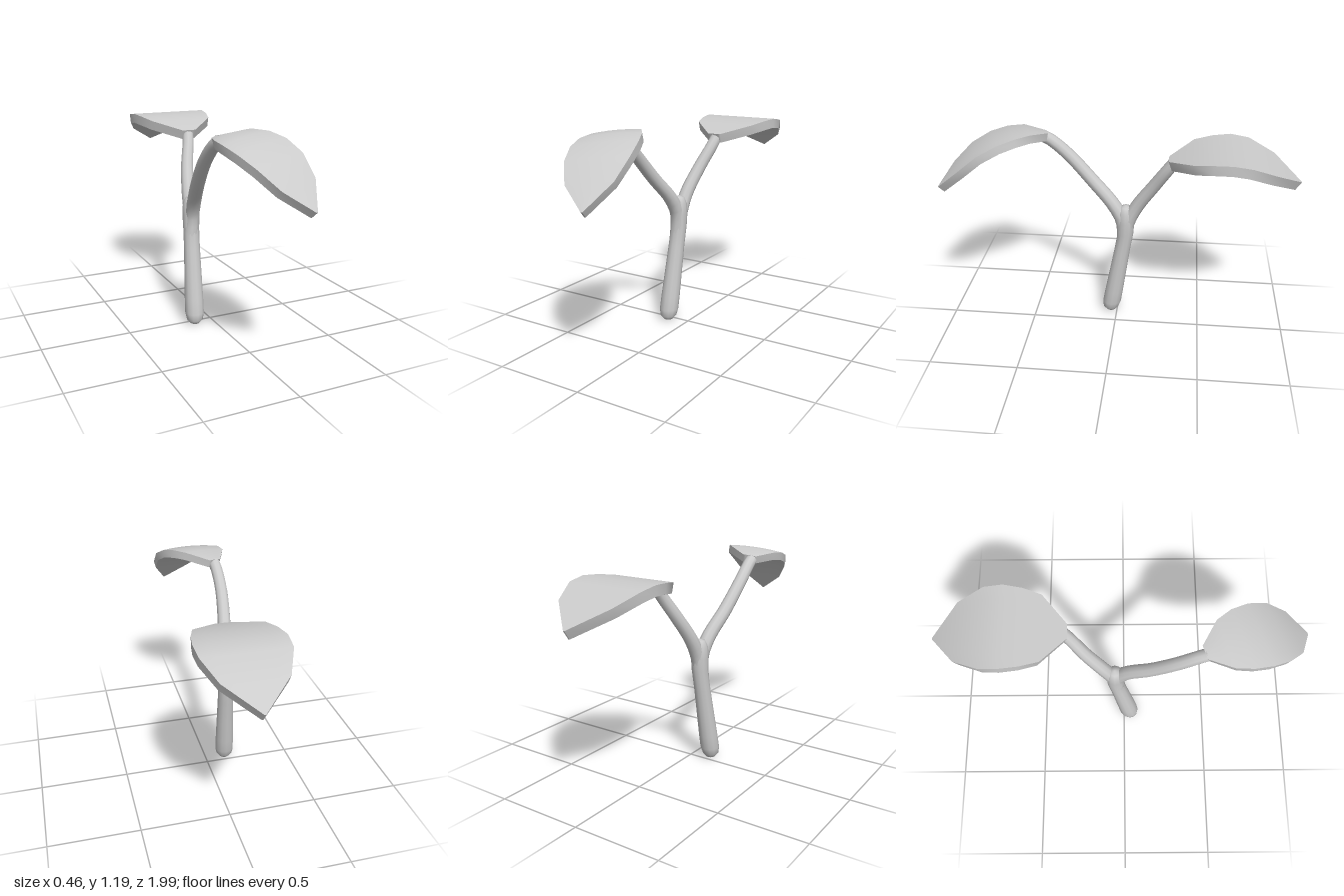
import * as THREE from 'three';
import { mergeVertices } from 'three/addons/utils/BufferGeometryUtils.js';

const material = new THREE.MeshStandardMaterial({ color: 0xcccccc, side: THREE.DoubleSide });

function addMesh(group, name, geometry) {
  const mesh = new THREE.Mesh(geometry, material);
  mesh.name = name;
  group.add(mesh);
}

// Weld the seam and recompute smooth normals
function smooth(geometry) {
  geometry.deleteAttribute('normal');
  geometry.deleteAttribute('uv');
  const welded = mergeVertices(geometry, 1e-5);
  welded.computeVertexNormals();
  return welded;
}

// Main stem: a lathe with a rounded foot, leaned by a rule
function stemGeometry() {
  const profile = [[0, 0], [0.028, 0.008], [0.047, 0.03], [0.055, 0.07], [0.054, 0.15], [0.05, 0.3],
    [0.046, 0.45], [0.046, 0.56], [0.05, 0.64], [0.046, 0.7], [0.03, 0.735], [0, 0.745]]
    .map(([r, y]) => new THREE.Vector2(r, y));
  const geometry = new THREE.LatheGeometry(profile, 12);
  const p = geometry.attributes.position;
  for (let i = 0; i < p.count; i++) {
    const k = THREE.MathUtils.clamp((p.getY(i) - 0.03) / 0.54, 0, 1);
    p.setX(i, p.getX(i) - 0.115 + 0.02 * k);
    p.setZ(i, p.getZ(i) + 0.037 - 0.09 * k);
  }
  return smooth(geometry);
}

// Branch: a tube tapering from r0 to r1
function branchGeometry(points, r0, r1) {
  const steps = 16, sides = 10;
  const curve = new THREE.CatmullRomCurve3(points.map((q) => new THREE.Vector3(...q)));
  const geometry = new THREE.TubeGeometry(curve, steps, 1, sides);
  const p = geometry.attributes.position, v = new THREE.Vector3();
  for (let i = 0; i < p.count; i++) {
    const t = Math.floor(i / (sides + 1)) / steps;
    const c = curve.getPointAt(t);
    v.fromBufferAttribute(p, i).sub(c).multiplyScalar(r0 + (r1 - r0) * t).add(c);
    p.setXYZ(i, v.x, v.y, v.z);
  }
  return smooth(geometry);
}

// Leaf: a thick arched blade; rows are [distance along, half width, height]
function leafGeometry({ base, tip, rows, tilt, dome, thickness }) {
  const heading = new THREE.Vector3(tip[0] - base[0], 0, tip[1] - base[1]).normalize();
  const side = new THREE.Vector3(-heading.z, 0, heading.x);
  const cols = 6, last = rows.length - 1;
  const top = [], bottom = [];
  rows.forEach(([d, w, y], i) => {
    const a = rows[Math.max(0, i - 1)], b = rows[Math.min(last, i + 1)];
    const along = heading.clone().multiplyScalar(b[0] - a[0]).setY(b[2] - a[2]);
    const across = side.clone().setY(tilt);
    const normal = across.cross(along).normalize();
    for (let j = 0; j <= cols; j++) {
      const u = (j / cols) * 2 - 1;
      const q = new THREE.Vector3(base[0], y + tilt * u * w - dome * u * u * w, base[1])
        .addScaledVector(heading, d).addScaledVector(side, u * w);
      top.push(q);
      bottom.push(q.clone().addScaledVector(normal, -thickness));
    }
  });

  // Upper and lower faces
  const id = (i, j) => i * (cols + 1) + j;
  const n = top.length, index = [];
  for (let i = 0; i < last; i++) {
    for (let j = 0; j < cols; j++) {
      const a = id(i, j), b = id(i, j + 1), c = id(i + 1, j + 1), d = id(i + 1, j);
      index.push(a, b, c, a, c, d, n + a, n + c, n + b, n + a, n + d, n + c);
    }
  }

  // Rim wall with its own vertices, so its edges stay sharp
  const loop = [];
  for (let j = 0; j < cols; j++) loop.push(id(0, j));
  for (let i = 0; i < last; i++) loop.push(id(i, cols));
  for (let j = cols; j > 0; j--) loop.push(id(last, j));
  for (let i = last; i > 0; i--) loop.push(id(i, 0));
  const points = [...top, ...bottom];
  loop.forEach((k) => points.push(top[k], bottom[k]));
  loop.forEach((_, k) => {
    const a = 2 * n + 2 * k, b = 2 * n + 2 * ((k + 1) % loop.length);
    index.push(a, a + 1, b + 1, a, b + 1, b);
  });

  const geometry = new THREE.BufferGeometry().setFromPoints(points);
  geometry.setIndex(index);
  geometry.computeVertexNormals();
  return geometry;
}

export function createModel() {
  const group = new THREE.Group();
  group.name = 'sprout';

  addMesh(group, 'stem', stemGeometry());
  addMesh(group, 'frontBranch', branchGeometry([
    [-0.1, 0.52, -0.042], [-0.095, 0.64, -0.035], [-0.105, 0.74, 0.02], [-0.135, 0.87, 0.14],
    [-0.153, 1.01, 0.27], [-0.152, 1.1, 0.37], [-0.147, 1.13, 0.42]], 0.042, 0.034));
  addMesh(group, 'backBranch', branchGeometry([
    [-0.096, 0.52, -0.045], [-0.092, 0.64, -0.068], [-0.083, 0.75, -0.12], [-0.05, 0.89, -0.21],
    [-0.01, 1.01, -0.285], [0, 1.055, -0.315]], 0.042, 0.033));

  addMesh(group, 'frontLeaf', leafGeometry({
    base: [-0.148, 0.395], tip: [0.06, 0.985], tilt: -0.11, dome: 0.06, thickness: 0.045,
    rows: [[0, 0.036, 1.155], [0.11, 0.13, 1.182], [0.2, 0.16, 1.176], [0.3, 0.171, 1.15],
      [0.41, 0.161, 1.095], [0.52, 0.118, 1.0], [0.626, 0.004, 0.885]],
  }));
  addMesh(group, 'backLeaf', leafGeometry({
    base: [0, -0.29], tip: [0.005, -1], tilt: 0, dome: 0, thickness: 0.055,
    rows: [[0, 0.04, 1.08], [0.13, 0.183, 1.127], [0.23, 0.213, 1.143], [0.33, 0.228, 1.15],
      [0.43, 0.222, 1.135], [0.57, 0.163, 1.075], [0.71, 0.004, 0.98]],
  }));
  return group;
}
